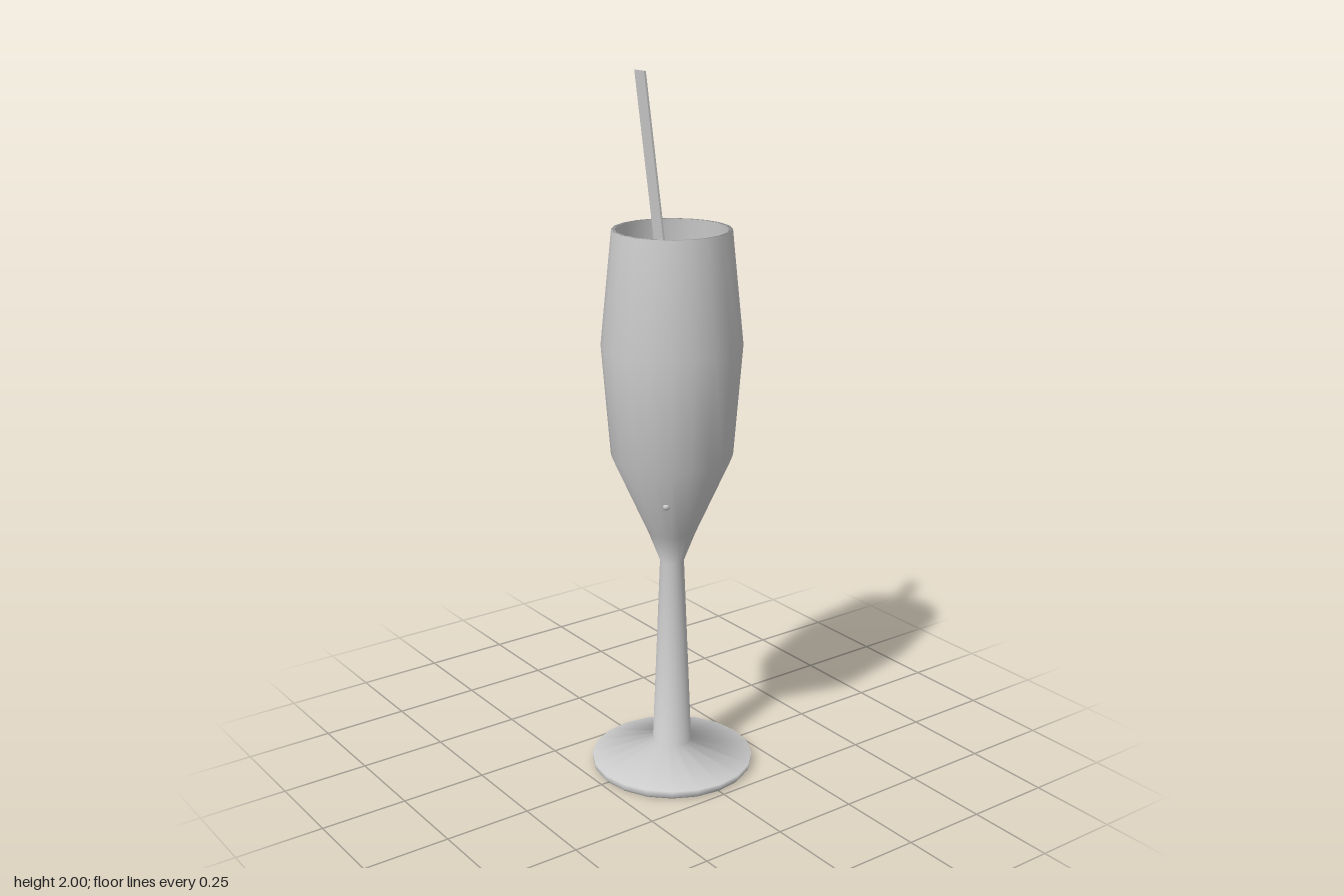
import * as THREE from 'three';

const SIDES = 20;

// Smooth turned part from [radius, height] pairs
function turned(name, profile, material) {
  const points = profile.map(([r, y]) => new THREE.Vector2(r, y));
  const mesh = new THREE.Mesh(new THREE.LatheGeometry(points, SIDES), material);
  mesh.name = name;
  return mesh;
}

export function createModel() {
  const group = new THREE.Group();
  group.name = 'fluteGlass';
  const grey = new THREE.MeshStandardMaterial({ color: 0xcccccc });
  grey.name = 'light grey';

  // Foot, stem and bowl: up the outside, over the rim, down the inside
  group.add(turned('glass', [
    [0, 0.005], [0.226, 0.005], [0.232, 0.012], [0.234, 0.03],
    [0.056, 0.08], [0.034, 0.64], [0.069, 0.73], [0.17, 0.955],
    [0.195, 1.27], [0.163, 1.588], [0.154, 1.588],
    [0.186, 1.27], [0.161, 0.96], [0.06, 0.735], [0, 0.68],
  ], grey));

  // Drink filling the bowl
  group.add(turned('drink', [
    [0, 0.69], [0.056, 0.737], [0.157, 0.962], [0.182, 1.27], [0.172, 1.38], [0, 1.38],
  ], grey));

  // Flat stirrer, sheared so that its ends stay level
  const top = 2, bottom = 0.85;
  const strip = new THREE.BoxGeometry(0.044, top - bottom, 0.006);
  strip.translate(0, (top + bottom) / 2, 0);
  const pos = strip.attributes.position;
  for (let i = 0; i < pos.count; i++) {
    const drop = top - pos.getY(i);
    pos.setX(i, pos.getX(i) - 0.039 + drop * 0.052);
    pos.setZ(i, pos.getZ(i) + 0.074 - drop * 0.098);
  }
  strip.computeVertexNormals();
  const stirrer = new THREE.Mesh(strip, grey);
  stirrer.name = 'stirrer';
  group.add(stirrer);

  // Small bubble at the wall of the bowl
  const bubble = new THREE.Mesh(new THREE.SphereGeometry(0.01, 10, 8), grey);
  bubble.name = 'bubble';
  bubble.position.set(0.083, 0.836, 0.08);
  group.add(bubble);

  // Stand on the ground
  group.children.forEach((part) => {
    if (part.name === 'glass') part.geometry.translate(0, -0.005, 0);
  });
  return group;
}
